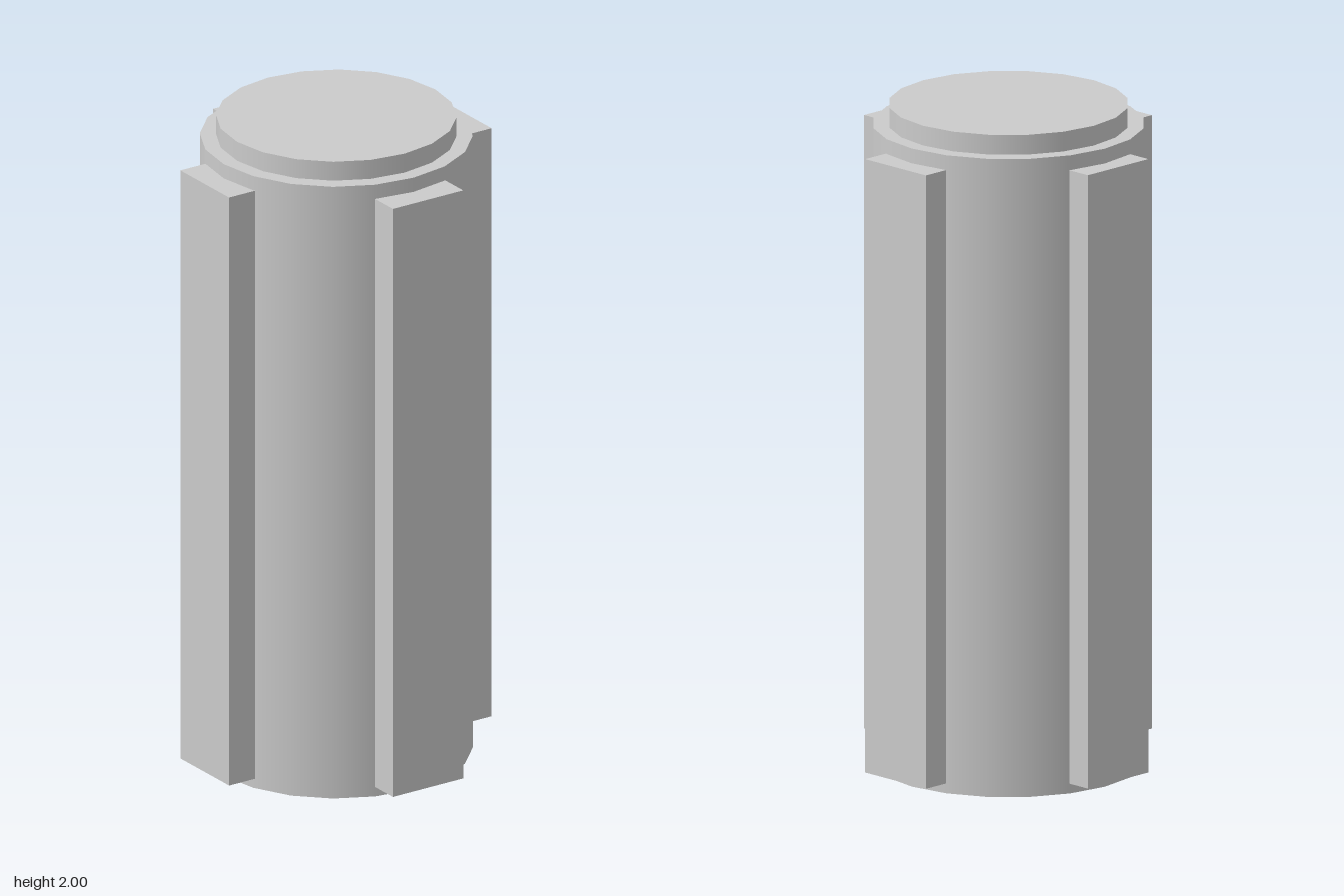
import * as THREE from 'three';

export function createModel() {
  const group = new THREE.Group();
  const material = new THREE.MeshStandardMaterial({ color: 0xcccccc });

  const add = (name, geometry, x, y, z) => {
    const mesh = new THREE.Mesh(geometry, material);
    mesh.name = name;
    mesh.position.set(x, y, z);
    group.add(mesh);
  };

  // Upright 20-sided drums, slightly off the centre of the ribs
  const drum = (name, radius, bottom, top) =>
    add(name, new THREE.CylinderGeometry(radius, radius, top - bottom, 20), 0.002, (bottom + top) / 2, -0.01);
  drum('body', 0.4, 0, 1.94);
  drum('topCap', 0.353, 1.94, 2);

  // Four vertical ribs sunk into the body
  const ribBottom = 0.03, ribTop = 1.895, inner = 0.3;
  const rib = (name, x0, x1, z0, z1) =>
    add(name, new THREE.BoxGeometry(x1 - x0, ribTop - ribBottom, z1 - z0),
      (x0 + x1) / 2, (ribBottom + ribTop) / 2, (z0 + z1) / 2);
  rib('frontRib', -0.122, 0.128, inner, 0.463);
  rib('backRib', -0.122, 0.128, -0.466, -inner);
  rib('leftRib', inner, 0.466, -0.133, 0.119);
  rib('rightRib', -0.468, -inner, -0.133, 0.119);

  return group;
}
